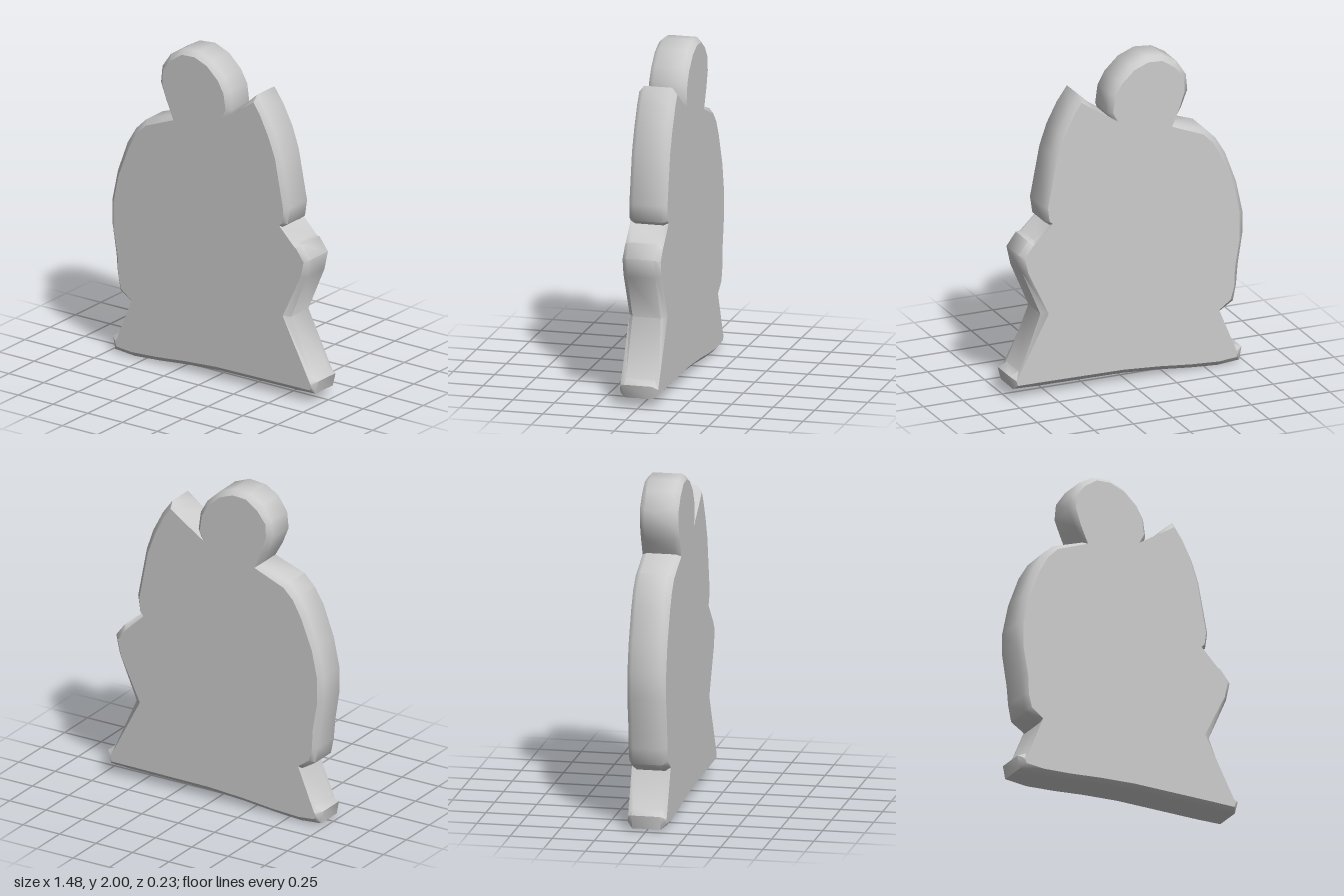
import * as THREE from 'three';
import { toCreasedNormals } from 'three/addons/utils/BufferGeometryUtils.js';

const FACE_Z = 0.115; // half thickness at the flat faces
const WALL_Z = 0.085; // half thickness where the chamfer meets the wall

const pairs = (a) => Array.from({ length: a.length / 2 }, (_, i) => new THREE.Vector2(a[2 * i], a[2 * i + 1]));

// Widest outline, clockwise from the lower left corner
const wall = pairs([
  -0.72, 0.015, -0.735, 0.095, -0.68, 0.12, -0.59, 0.335, -0.68, 0.39, -0.7, 0.49, // left foot
  -0.71, 0.61, -0.74, 0.8, -0.74, 0.94, -0.7, 1.13, -0.63, 1.32, -0.57, 1.42, -0.5, 1.49, // back
  -0.3, 1.56, -0.35, 1.65, -0.39, 1.75, -0.38, 1.85, -0.32, 1.94, -0.235, 1.99, -0.125, 2, // head
  -0.025, 1.96, 0.06, 1.88, 0.105, 1.8, 0.12, 1.69, 0.11, 1.66,
  0.2, 1.72, 0.245, 1.775, 0.3, 1.825, 0.365, 1.735, 0.43, 1.61, 0.475, 1.48, 0.535, 1.17, // peak
  0.52, 1.07, 0.485, 1.045, 0.585, 0.965, 0.625, 0.965, 0.685, 0.885, 0.66, 0.77, 0.545, 0.5, // elbow
  0.685, 0.165, 0.74, 0.14, 0.72, 0.06, // right foot
  0.58, 0.055, 0.03, 0.05, -0.2, 0.035, -0.4, 0.015, -0.58, 0.003, // base
]);

// Matching outline of the flat faces, just inside
const face = pairs([
  -0.69, 0.045, -0.7, 0.075, -0.69, 0.085, -0.58, 0.355, -0.655, 0.41, -0.675, 0.49,
  -0.68, 0.61, -0.71, 0.78, -0.71, 0.94, -0.675, 1.11, -0.6, 1.3, -0.545, 1.4, -0.48, 1.465,
  -0.28, 1.545, -0.33, 1.66, -0.36, 1.755, -0.355, 1.84, -0.3, 1.91, -0.22, 1.965, -0.13, 1.97,
  -0.04, 1.935, 0.04, 1.86, 0.08, 1.79, 0.095, 1.69, 0.065, 1.632,
  0.2, 1.72, 0.245, 1.75, 0.295, 1.785, 0.34, 1.72, 0.4, 1.6, 0.45, 1.47, 0.51, 1.16,
  0.5, 1.08, 0.48, 1.06, 0.585, 0.955, 0.605, 0.94, 0.655, 0.87, 0.635, 0.775, 0.505, 0.505,
  0.7, 0.13, 0.71, 0.115, 0.7, 0.085,
  0.57, 0.085, 0.03, 0.08, -0.2, 0.065, -0.4, 0.045, -0.58, 0.035,
]);

// Chamfer, wall and chamfer, joined from four cross-sections
function rimGeometry() {
  const rings = [[face, FACE_Z], [wall, WALL_Z], [wall, -WALL_Z], [face, -FACE_Z]];
  const n = face.length;
  const positions = rings.flatMap(([outline, z]) => outline.flatMap((p) => [p.x, p.y, z]));
  const index = [];
  for (let k = 0; k < 3; k++) {
    for (let i = 0; i < n; i++) {
      const j = (i + 1) % n;
      const a = k * n + i, b = k * n + j, c = b + n, d = a + n;
      index.push(a, b, c, a, c, d);
    }
  }
  const geometry = new THREE.BufferGeometry();
  geometry.setAttribute('position', new THREE.Float32BufferAttribute(positions, 3));
  geometry.setIndex(index);
  return toCreasedNormals(geometry, 0.9);
}

export function createModel() {
  const group = new THREE.Group();
  group.name = 'figureCutout';
  const material = new THREE.MeshStandardMaterial({ color: 0xcccccc });

  const add = (name, geometry) => {
    const mesh = new THREE.Mesh(geometry, material);
    mesh.name = name;
    group.add(mesh);
  };

  add('rim', rimGeometry());

  // Flat faces; the back one is mirrored, then turned around
  add('frontFace', new THREE.ShapeGeometry(new THREE.Shape(face)).translate(0, 0, FACE_Z));
  const mirrored = face.map((p) => new THREE.Vector2(-p.x, p.y));
  add('backFace', new THREE.ShapeGeometry(new THREE.Shape(mirrored)).translate(0, 0, FACE_Z).rotateY(Math.PI));

  return group;
}
